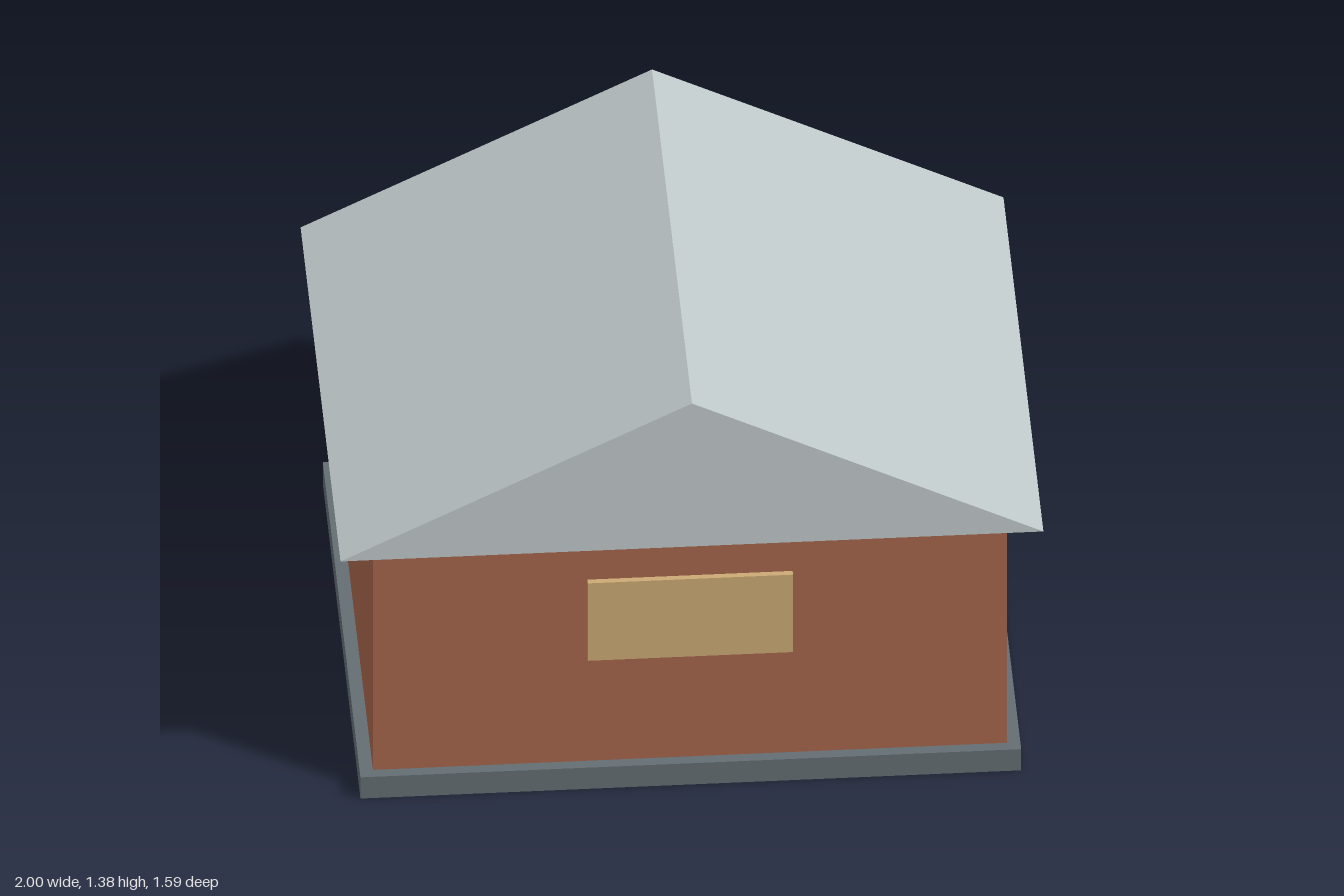
import * as THREE from 'three';

const material = (name, color) => {
  const m = new THREE.MeshStandardMaterial({ color });
  m.name = name;
  return m;
};

export function createModel() {
  const brick = material('brick red', 0xa5644c);
  const slate = material('slate grey', 0x626d72);
  const roofGrey = material('pale roof grey', 0xbec7c8);
  const tan = material('window tan', 0xcaa973);

  const house = new THREE.Group();
  house.name = 'house';

  const add = (name, geometry, mat, y, z = 0) => {
    const mesh = new THREE.Mesh(geometry, mat);
    mesh.name = name;
    mesh.position.set(0, y, z);
    house.add(mesh);
  };

  // Foundation slab, slightly wider than the walls
  const baseTop = 0.075;
  add('foundation', new THREE.BoxGeometry(1.88, baseTop, 1.5), slate, baseTop / 2);

  // Walls rise from the slab to the eaves
  const eaves = 0.876;
  const wallHeight = eaves - baseTop;
  const wallDepth = 1.434;
  add('walls', new THREE.BoxGeometry(1.804, wallHeight, wallDepth), brick, baseTop + wallHeight / 2);

  // Solid gable roof with its ridge running front to back
  const gable = new THREE.Shape([
    new THREE.Vector2(-1, 0),
    new THREE.Vector2(1, 0),
    new THREE.Vector2(0, 0.506),
  ]);
  const roofDepth = 1.59;
  const roof = new THREE.ExtrudeGeometry(gable, { depth: roofDepth, bevelEnabled: false });
  roof.translate(0, 0, -roofDepth / 2);
  add('roof', roof, roofGrey, eaves);

  // Raised window panel on the front wall
  const panelDepth = 0.036;
  add('frontWindow', new THREE.BoxGeometry(0.584, 0.274, panelDepth), tan, 0.579, wallDepth / 2);

  return house;
}
